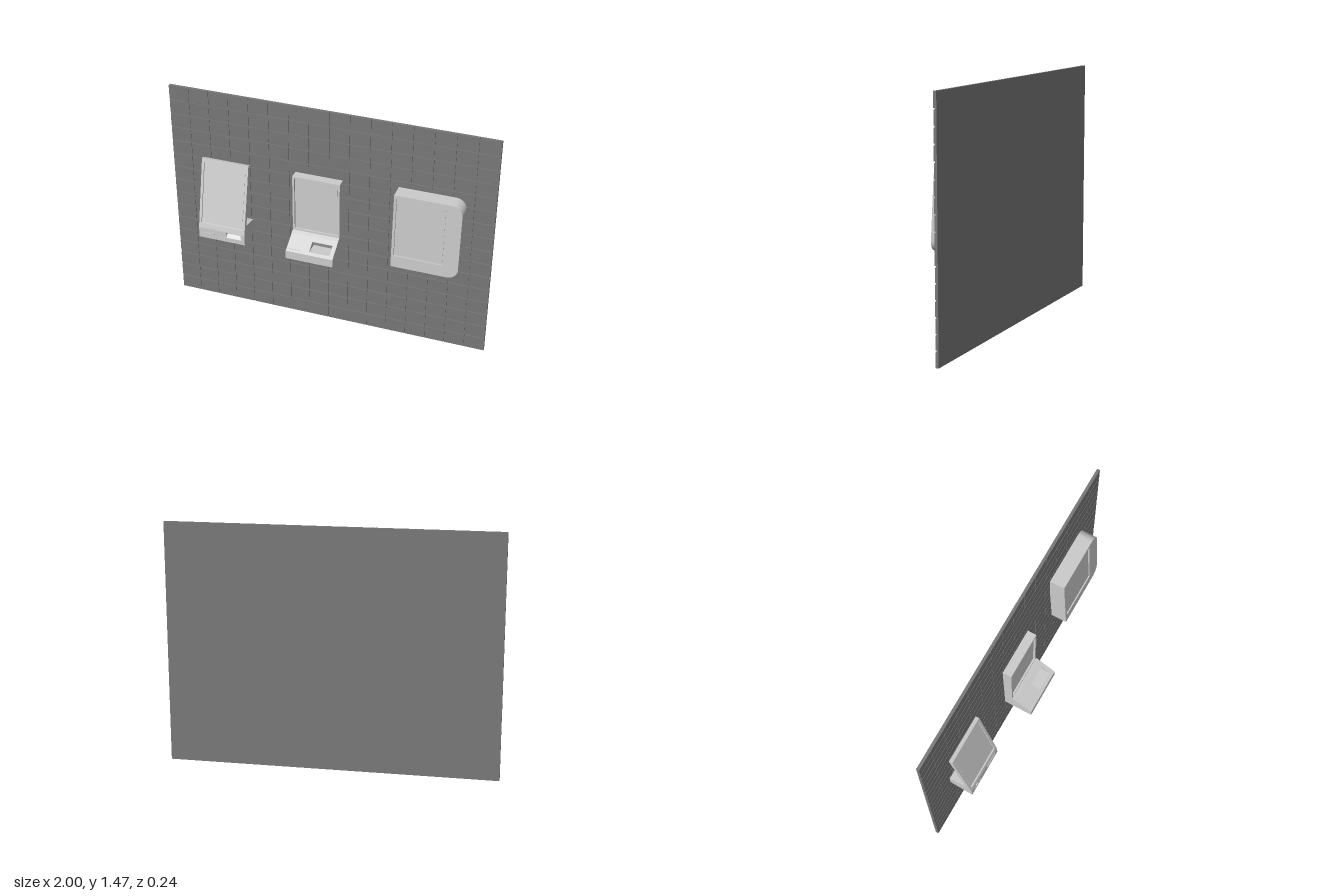
import * as THREE from 'three';

const grey = new THREE.MeshStandardMaterial({ color: 0xcccccc });
const tileGrey = new THREE.MeshStandardMaterial({ color: 0x777777 });

function add(parent, name, geometry, material = grey) {
  const mesh = new THREE.Mesh(geometry, material);
  mesh.name = name;
  parent.add(mesh);
  return mesh;
}

function group(parent, name) {
  const g = new THREE.Group();
  g.name = name;
  parent.add(g);
  return g;
}

function box(parent, name, x0, x1, y0, y1, z0, z1, material) {
  const g = new THREE.BoxGeometry(x1 - x0, y1 - y0, z1 - z0);
  g.translate((x0 + x1) / 2, (y0 + y1) / 2, (z0 + z1) / 2);
  return add(parent, name, g, material);
}

// Extrudes a side profile of [z, y] points from x0 to x1
function slice(parent, name, x0, x1, points) {
  const shape = new THREE.Shape(points.map(([z, y]) => new THREE.Vector2(z, y)));
  const g = new THREE.ExtrudeGeometry(shape, { depth: x1 - x0, bevelEnabled: false });
  g.rotateY(-Math.PI / 2).translate(x1, 0, 0);
  return add(parent, name, g);
}

function buildWall(parent) {
  const wall = group(parent, 'tiledWall');
  const n = 16, h = 1.47, w = 2 / n, rowH = h / n;
  box(wall, 'wallBacking', -1, 1, 0, h, -0.118, -0.106, tileGrey);
  for (let r = 0; r < n; r++) {
    for (let c = 0; c < n; c++) {
      const x0 = -1 + c * w + (c ? 0.001 : 0), x1 = -1 + (c + 1) * w - (c < n - 1 ? 0.001 : 0);
      const y0 = r * rowH + (r ? 0.005 : 0), y1 = (r + 1) * rowH - (r < n - 1 ? 0.005 : 0);
      box(wall, 'tile', x0, x1, y0, y1, -0.107, -0.1, tileGrey);
    }
  }
}

// Leaning screen on a chin and a deep base
function buildLeaningKiosk(parent) {
  const kiosk = group(parent, 'leaningKiosk');
  const face = (y, inset = 0) => [0.05 - 0.2345 * (y - 0.605) - inset, y];
  const pocket = [[0.05, 0.565], [0.02, 0.596], [0.05, 0.6]];
  const recess = [face(0.635), face(0.637, 0.008), face(1.012, 0.008), face(1.014)];
  const profile = (...cuts) => [
    [0.05, 0.535], ...cuts.filter((c) => c === pocket).flat(),
    [0.05, 0.605], ...cuts.filter((c) => c === recess).flat(),
    face(1.04), [-0.075, 1.035], [0.012, 0.655], [-0.097, 0.635], [-0.097, 0.562],
  ];
  slice(kiosk, 'rightFrame', -0.79, -0.775, profile());
  slice(kiosk, 'bodyLeftOfTray', -0.775, -0.61, profile(recess));
  slice(kiosk, 'bodyWithTray', -0.61, -0.515, profile(pocket, recess));
  slice(kiosk, 'bodyBesideTray', -0.515, -0.505, profile(recess));
  slice(kiosk, 'leftFrame', -0.505, -0.49, profile());
  slice(kiosk, 'screen', -0.771, -0.509,
    [face(0.641, 0.009), face(0.641, 0.006), face(1.006, 0.006), face(1.006, 0.009)]);

  // Card slot with a half-round thumb guide above
  box(kiosk, 'cardSlot', -0.762, -0.69, 0.569, 0.575, 0.049, 0.053);
  const arch = new THREE.Shape();
  arch.absellipse(0, 0, 0.018, 0.014, 0, Math.PI, false);
  const g = new THREE.ExtrudeGeometry(arch, { depth: 0.004, bevelEnabled: false, curveSegments: 10 });
  g.translate(-0.726, 0.583, 0.049);
  add(kiosk, 'thumbGuide', g);
}

// Upright screen above a sloping ledge with a reader pocket
function buildLedgeKiosk(parent) {
  const kiosk = group(parent, 'ledgeKiosk');
  const slopeY = (z) => 0.61 + 0.586 * (0.118 - z);
  const pocket = [[0.1, slopeY(0.1)], [0.02, slopeY(0.1)], [0.04, slopeY(0.04)]];
  const recess = [[-0.01, 0.693], [-0.024, 0.693], [-0.024, 1.043], [-0.01, 1.043]];
  const profile = (...cuts) => [
    [-0.06, 0.557], [0.118, 0.557], [0.118, 0.61],
    ...cuts.filter((c) => c === pocket).flat(),
    [0.012, slopeY(0.012)], [-0.01, 0.683],
    ...cuts.filter((c) => c === recess).flat(),
    [-0.01, 1.055], [-0.066, 1.055],
  ];
  slice(kiosk, 'rightFrame', -0.197, -0.185, profile());
  slice(kiosk, 'bodyLeftOfReader', -0.185, -0.055, profile(recess));
  slice(kiosk, 'bodyWithReader', -0.055, 0.072, profile(pocket, recess));
  slice(kiosk, 'bodyBesideReader', 0.072, 0.085, profile(recess));
  slice(kiosk, 'leftFrame', 0.085, 0.097, profile());
  box(kiosk, 'screen', -0.181, 0.081, 0.697, 1.039, -0.026, -0.021);

  // Raised corner marker on the slope
  const marker = (x, z, w, d) => {
    const m = add(kiosk, 'cornerMarker', new THREE.BoxGeometry(w, 0.004, d));
    m.position.set(x, slopeY(z), z);
    m.rotation.x = Math.atan(0.586);
  };
  marker(-0.144, 0.1, 0.066, 0.006);
  marker(-0.175, 0.085, 0.005, 0.034);
}

// Tilted housing, square on one side and rounded on the other
function buildRoundedKiosk(parent) {
  const kiosk = group(parent, 'roundedKiosk');
  const x0 = 0.425, x1 = 0.83, y0 = 0.58, y1 = 1.06, r = 0.065;
  const outline = () => {
    const s = new THREE.Shape();
    s.moveTo(x0, y0).lineTo(x1 - r, y0);
    s.absarc(x1 - r, y0 + r, r, -Math.PI / 2, 0, false);
    s.absarc(x1 - r, y1 - r, r, 0, Math.PI / 2, false);
    s.lineTo(x0, y1);
    s.closePath();
    return s;
  };
  const lean = (g) => {
    const p = g.attributes.position;
    for (let i = 0; i < p.count; i++) p.setZ(i, p.getZ(i) - 0.055 * (p.getY(i) - y0));
    return g;
  };
  const extrude = (shape, depth, z) =>
    lean(new THREE.ExtrudeGeometry(shape, { depth, bevelEnabled: false, curveSegments: 12 }).translate(0, 0, z));

  add(kiosk, 'housing', extrude(outline(), 0.09, -0.08));
  const bezel = outline();
  bezel.holes.push(new THREE.Path([[0.44, 0.655], [0.44, 1.04], [0.735, 1.04], [0.735, 0.655]]
    .map(([x, y]) => new THREE.Vector2(x, y))));
  add(kiosk, 'bezel', extrude(bezel, 0.01, 0.01));
  const screen = new THREE.BoxGeometry(0.289, 0.379, 0.004).translate(0.5875, 0.8475, 0.011);
  add(kiosk, 'screen', lean(screen));
}

export function createModel() {
  const model = new THREE.Group();
  model.name = 'wallKiosks';
  buildWall(model);
  buildLeaningKiosk(model);
  buildLedgeKiosk(model);
  buildRoundedKiosk(model);
  return model;
}
